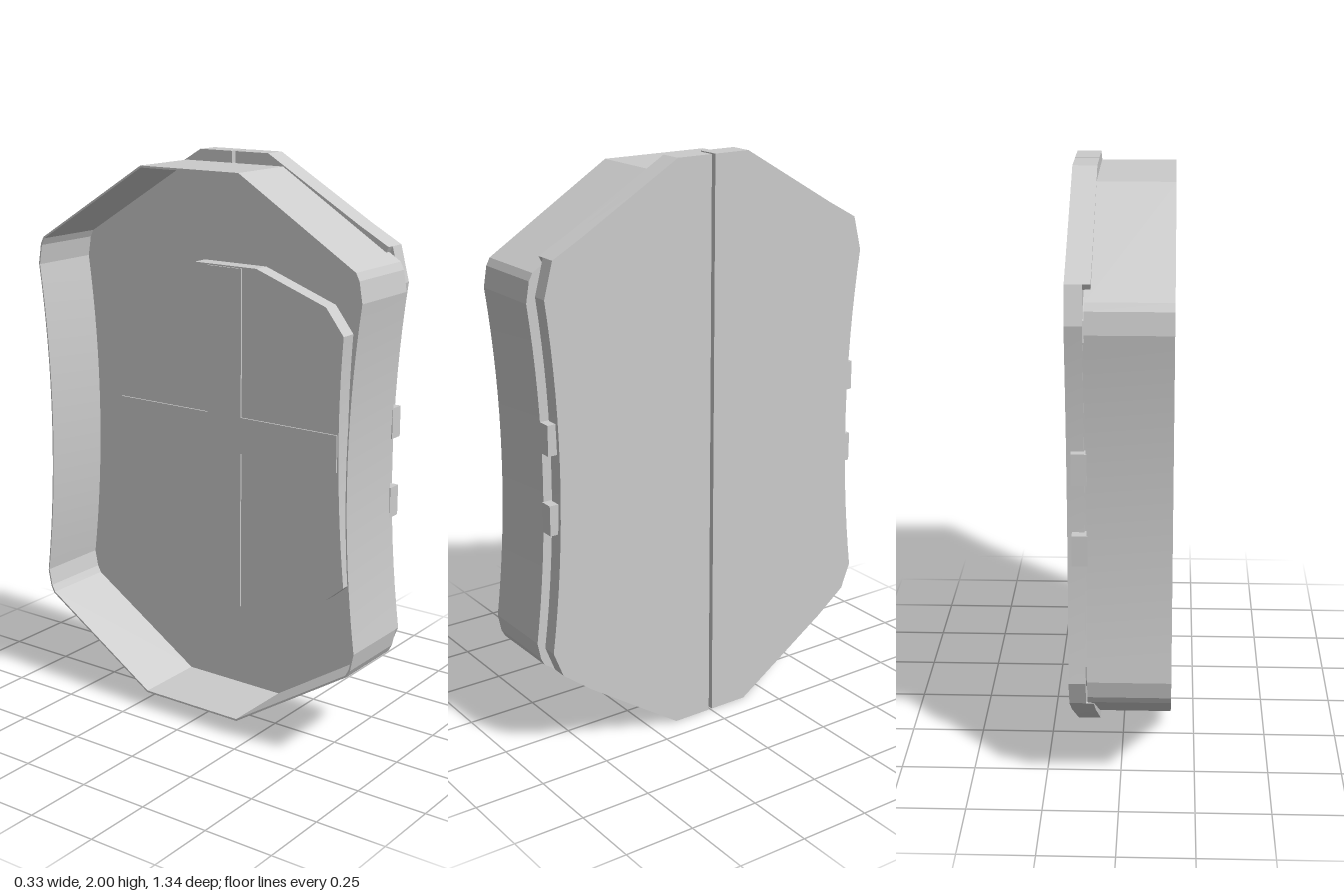
import * as THREE from 'three';
import { toCreasedNormals } from 'three/addons/utils/BufferGeometryUtils.js';

const material = new THREE.MeshStandardMaterial({ color: 0xcccccc, side: THREE.DoubleSide });

// Outline points are [z, y] from top centre down one side; 'c' marks a curve control point
const FRAME = [[0, 1.96], [0.2, 1.96], [0.645, 1.685], [0.658, 1.66], [0.67, 1.59], ['c', 0.59, 1.01, 0.67, 0.43],
  [0.658, 0.37], [0.645, 0.345], [0.2, 0.06], [0, 0.06]];
const DOOR = [[0.007, 2], [0.14, 2], [0.5, 1.79], [0.61, 1.73], [0.642, 1.61], ['c', 0.56, 1.01, 0.645, 0.41],
  [0.61, 0.32], [0.5, 0.235], [0.15, 0], [0.007, 0]];
const PLATE = [[0, 1.62], [0.13, 1.62], [0.41, 1.52], [0.48, 1.43], ['c', 0.45, 1.01, 0.5, 0.56],
  [0.43, 0.5], [0.13, 0.39], [0, 0.39]];

// Samples one half of an outline
function sample(list) {
  const out = [];
  for (const p of list) {
    if (p[0] !== 'c') { out.push(new THREE.Vector2(p[0], p[1])); continue; }
    const curve = new THREE.QuadraticBezierCurve(out[out.length - 1].clone(),
      new THREE.Vector2(p[1], p[2]), new THREE.Vector2(p[3], p[4]));
    out.push(...curve.getPoints(16).slice(1));
  }
  return out;
}

// Full closed outline, optionally scaled about the middle
function outline(list, scale = 1) {
  const half = sample(list);
  const other = half.slice(1, -1).reverse().map(p => new THREE.Vector2(-p.x, p.y));
  return [...half, ...other].map(p => new THREE.Vector2(p.x * scale, 1.01 + (p.y - 1.01) * scale));
}

// Extrudes a z/y shape along x
function slab(name, shape, x0, x1) {
  let geometry = new THREE.ExtrudeGeometry(shape, { depth: x1 - x0, bevelEnabled: false });
  geometry.rotateY(Math.PI / 2);
  geometry.translate(x0, 0, 0);
  geometry = toCreasedNormals(geometry, 0.25);
  const mesh = new THREE.Mesh(geometry, material);
  mesh.name = name;
  return mesh;
}

function box(name, x0, x1, y0, y1, z0, z1) {
  const mesh = new THREE.Mesh(new THREE.BoxGeometry(x1 - x0, y1 - y0, z1 - z0), material);
  mesh.position.set((x0 + x1) / 2, (y0 + y1) / 2, (z0 + z1) / 2);
  mesh.name = name;
  return mesh;
}

export function createModel() {
  const model = new THREE.Group();
  model.name = 'shallowCase';

  // Thin surrounding wall, open at the back
  const wall = new THREE.Shape(outline(FRAME));
  wall.holes.push(new THREE.Path(outline(FRAME, 0.993)));
  model.add(slab('surroundingWall', wall, -0.168, 0.103));

  // Floor closing the wall and the core behind the doors
  model.add(slab('floor', new THREE.Shape(outline(FRAME, 0.995)), 0.095, 0.103));
  model.add(slab('doorBacking', new THREE.Shape(outline(FRAME, 0.94)), 0.1, 0.13));

  // Raised inner plate with crossing straps
  model.add(slab('innerPlate', new THREE.Shape(outline(PLATE)), 0.035, 0.096));
  model.add(box('verticalStrap', 0.029, 0.09, 0.395, 1.615, -0.072, 0.072));
  model.add(box('horizontalStrap', 0.029, 0.09, 0.965, 1.095, -0.465, 0.465));

  for (const side of [1, -1]) {
    // Door halves, separated by a narrow centre gap
    const flip = list => list.map(p => new THREE.Vector2(p.x * side, p.y));
    const door = new THREE.Group();
    door.name = side > 0 ? 'rearDoor' : 'frontDoor';
    door.add(slab('doorPanel', new THREE.Shape(flip(sample(DOOR))), 0.11, 0.165));

    // Lips that fold over the top and bottom of the wall
    const topLip = [[0.007, 2], [0.14, 2], [0.5, 1.79], [0.61, 1.73], [0.6, 1.71], [0.2, 1.957], [0.007, 1.957]];
    const bottomLip = [[0.007, 0], [0.15, 0], [0.5, 0.235], [0.61, 0.32], [0.6, 0.322], [0.2, 0.063], [0.007, 0.063]];
    for (const [name, lip] of [['topLip', topLip], ['bottomLip', bottomLip]]) {
      door.add(slab(name, new THREE.Shape(flip(sample(lip))), 0.085, 0.112));
    }
    model.add(door);

    // Pairs of hinge tabs on each side edge
    for (const y of [1.148, 0.875]) {
      const z = side * 0.614;
      model.add(box('hingeTab', 0.1, 0.15, y - 0.052, y + 0.052, z - 0.021, z + 0.021));
    }
  }
  return model;
}
